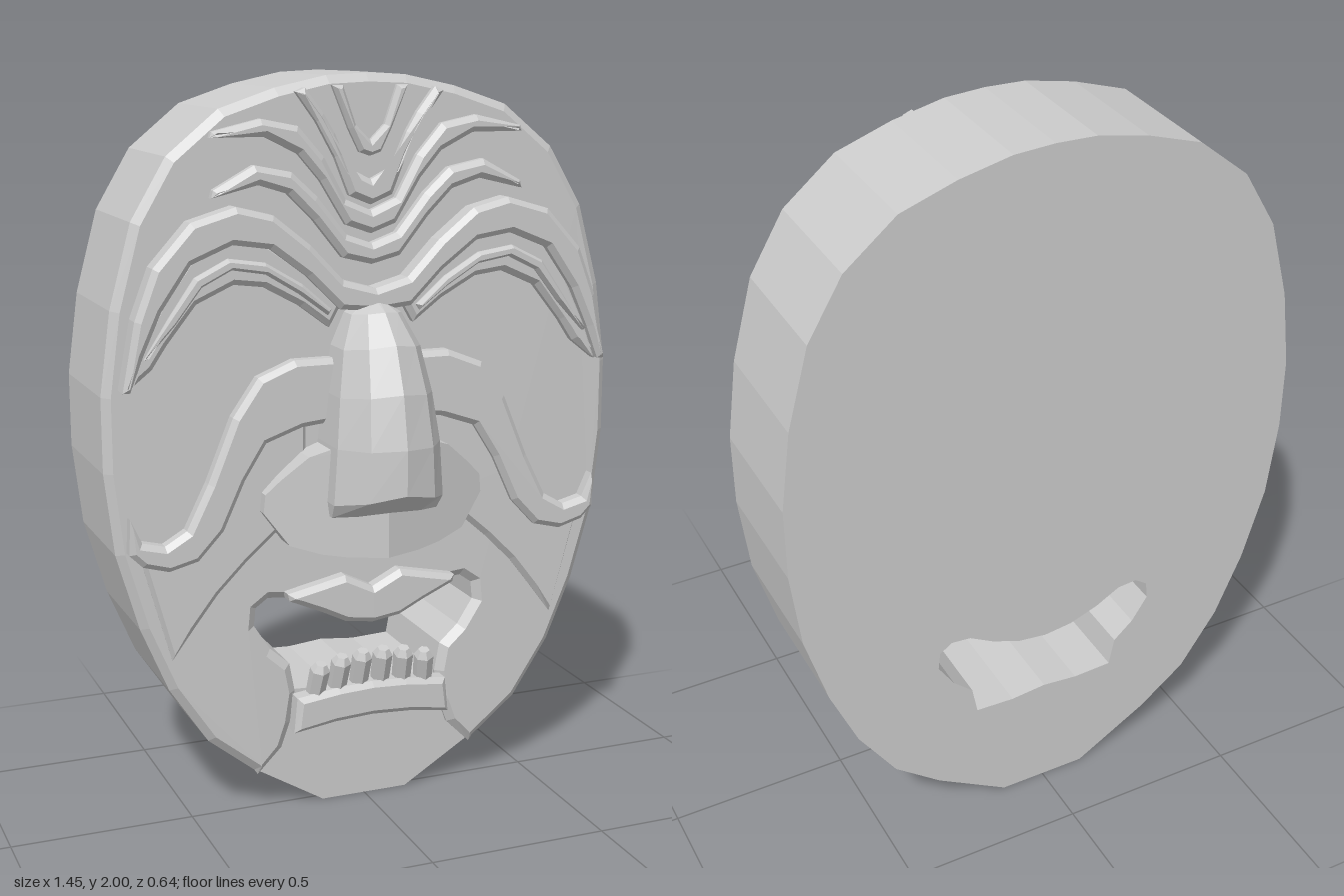
import * as THREE from 'three';

const material = new THREE.MeshStandardMaterial({ color: 0xcccccc, flatShading: true });

const flip = pts => pts.map(([x, y]) => [-x, y]);
const toVectors = pts => pts.map(([x, y]) => new THREE.Vector2(x, y));
// Closed outline from a right half that runs from one end of the centre line to the other
const symmetric = half => [...half, ...flip(half).reverse().filter(p => Math.abs(p[0]) > 1e-6)];

function addMesh(group, name, geometry) {
  const mesh = new THREE.Mesh(geometry, material);
  mesh.name = name;
  group.add(mesh);
  return mesh;
}

// Flat relief from z0 to z1 whose front edge is chamfered inside the outline
function slab(pts, z0, z1, bevel = 0.015, thickness = 0.015, hole) {
  const shape = new THREE.Shape(toVectors(pts));
  if (hole) shape.holes.push(new THREE.Path(toVectors(hole)));
  const t = bevel ? thickness : 0;
  const geometry = new THREE.ExtrudeGeometry(shape, {
    depth: z1 - z0 - 2 * t, bevelEnabled: bevel > 0, bevelSize: bevel,
    bevelOffset: -bevel, bevelThickness: t, bevelSegments: 1, curveSegments: 1,
  });
  return geometry.translate(0, 0, z0 + t);
}

// Wrinkle across the centre, from upper and lower edges listed outward from the middle
function wrinkle(group, name, top, bottom, z, bevel) {
  const half = [...top, ...[...bottom].reverse()];
  addMesh(group, name, slab(symmetric(half), 0.03, z, bevel));
}

// The same relief on both sides of the face
function pair(group, name, top, bottom, z, bevel) {
  const pts = [...top, ...[...bottom].reverse()];
  addMesh(group, name + 'Left', slab(pts, 0.03, z, bevel));
  addMesh(group, name + 'Right', slab(flip(pts), 0.03, z, bevel));
}

// Nose lofted through horizontal sections: [y at side, y at ridge, half width, side z, ridge z]
function noseGeometry() {
  const rows = [
    [1.42, 1.42, 0.02, 0.09, 0.1],
    [1.385, 1.395, 0.07, 0.11, 0.17],
    [1.3, 1.32, 0.108, 0.15, 0.245],
    [1.18, 1.2, 0.13, 0.18, 0.295],
    [1.05, 1.06, 0.145, 0.2, 0.322],
    [0.9, 0.94, 0.155, 0.2, 0.322],
    [0.86, 0.87, 0.15, 0.17, 0.215],
  ];
  const rings = rows.map(([ys, yr, w, zs, zr]) => [
    [-w, ys, 0.03], [-w, ys, zs], [-0.6 * w, (ys + yr) / 2, zs + (zr - zs) * 0.72], [0, yr, zr],
    [0.6 * w, (ys + yr) / 2, zs + (zr - zs) * 0.72], [w, ys, zs], [w, ys, 0.03],
  ]);
  const pos = [];
  const tri = (a, b, c) => pos.push(...a, ...b, ...c);
  for (let i = 0; i < rings.length - 1; i++) {
    const u = rings[i], d = rings[i + 1];
    for (let j = 0; j < 6; j++) {
      tri(d[j], d[j + 1], u[j + 1]);
      tri(d[j], u[j + 1], u[j]);
    }
  }
  const first = rings[0], last = rings[rings.length - 1];
  for (let j = 1; j < 6; j++) {
    tri(first[0], first[j], first[j + 1]);
    tri(last[0], last[j + 1], last[j]);
  }
  const geometry = new THREE.BufferGeometry();
  geometry.setAttribute('position', new THREE.Float32BufferAttribute(pos, 3));
  geometry.computeVertexNormals();
  return geometry;
}

// Half of the nostril flare: a flat piece whose front rises toward the middle
function flareGeometry(side) {
  const pts = [[0, 1.04], [0.13, 1.045], [0.2, 1.02], [0.27, 0.96], [0.31, 0.92], [0.315, 0.87],
    [0.25, 0.78], [0.17, 0.755], [0.1, 0.745], [0, 0.742]];
  const geometry = slab(side > 0 ? pts : flip(pts), 0.03, 0.1, 0);
  const p = geometry.attributes.position;
  for (let i = 0; i < p.count; i++) {
    if (p.getZ(i) > 0.06) p.setZ(i, 0.2 - 0.32 * Math.abs(p.getX(i)));
  }
  geometry.computeVertexNormals();
  return geometry;
}

export function createModel() {
  const mask = new THREE.Group();
  mask.name = 'mask';

  // Thick body pierced by the mouth
  const rim = [[0.33, 0.125], [0.46, 0.23], [0.565, 0.39], [0.64, 0.57], [0.7, 0.78], [0.725, 1.0],
    [0.725, 1.2], [0.695, 1.42], [0.635, 1.64], [0.54, 1.8], [0.4, 1.915], [0.25, 1.965], [0.11, 1.995], [0, 2]];
  const mouthUpper = [[0.21, 0.34], [0.225, 0.42], [0.28, 0.47], [0.325, 0.54], [0.32, 0.59], [0.285, 0.615],
    [0.23, 0.61], [0.16, 0.57], [0.08, 0.54], [0, 0.53]];
  const mouth = symmetric([[0, 0.345], [0.1, 0.335], ...mouthUpper]);
  addMesh(mask, 'body', slab(symmetric([[0, 0], [0.125, 0], ...rim]), -0.32, 0.025, 0, 0, mouth));

  // Raised face plate, cut away around the mouth and chin
  const jaw = [[0.32, 0.11], [0.25, 0.18], [0.225, 0.25]];
  const inner = [...jaw, ...mouthUpper];
  const facePlate = [...rim, ...flip(rim).reverse().slice(1), ...flip(inner), ...inner.slice(0, -1).reverse()];
  addMesh(mask, 'facePlate', slab(facePlate, 0.003, 0.054, 0.022, 0.02));

  // Nested forehead wrinkles, from the hairline down
  wrinkle(mask, 'foreheadWrinkle1', [[0, 1.83], [0.04, 1.87], [0.075, 1.97]],
    [[0, 1.79], [0.03, 1.8], [0.06, 1.86], [0.105, 1.97]], 0.08, 0.01);
  wrinkle(mask, 'foreheadWrinkle2', [[0, 1.73], [0.06, 1.76], [0.1, 1.85], [0.13, 1.9], [0.18, 1.965]],
    [[0, 1.665], [0.06, 1.69], [0.1, 1.79], [0.15, 1.88], [0.205, 1.955]], 0.085);
  wrinkle(mask, 'foreheadWrinkle3', [[0, 1.65], [0.07, 1.68], [0.13, 1.79], [0.2, 1.87], [0.3, 1.89], [0.43, 1.86]],
    [[0, 1.59], [0.07, 1.615], [0.14, 1.73], [0.2, 1.8], [0.29, 1.845], [0.435, 1.845]], 0.085);
  wrinkle(mask, 'foreheadWrinkle4', [[0, 1.565], [0.07, 1.59], [0.15, 1.69], [0.22, 1.755], [0.32, 1.775], [0.43, 1.715]],
    [[0, 1.51], [0.08, 1.53], [0.16, 1.63], [0.23, 1.7], [0.31, 1.725], [0.435, 1.695]], 0.09);

  // Brow, with an eyelid step and a thin fold below it
  wrinkle(mask, 'brow',
    [[0, 1.45], [0.09, 1.475], [0.18, 1.57], [0.28, 1.65], [0.38, 1.675], [0.5, 1.64], [0.6, 1.53], [0.65, 1.4], [0.685, 1.22]],
    [[0, 1.39], [0.1, 1.4], [0.19, 1.49], [0.29, 1.565], [0.39, 1.58], [0.5, 1.535], [0.58, 1.42], [0.63, 1.31], [0.665, 1.22]], 0.12);
  pair(mask, 'browFold',
    [[0.12, 1.4], [0.2, 1.47], [0.3, 1.53], [0.4, 1.545], [0.49, 1.5], [0.56, 1.4], [0.625, 1.3]],
    [[0.13, 1.385], [0.21, 1.445], [0.3, 1.5], [0.39, 1.515], [0.47, 1.475], [0.54, 1.385], [0.62, 1.3]], 0.11, 0.008);
  pair(mask, 'eyelid',
    [[0.08, 1.42], [0.19, 1.51], [0.29, 1.58], [0.39, 1.6], [0.5, 1.55], [0.58, 1.44], [0.64, 1.32], [0.675, 1.22]],
    [[0.12, 1.35], [0.2, 1.41], [0.3, 1.465], [0.38, 1.475], [0.48, 1.43], [0.56, 1.33], [0.6, 1.27], [0.67, 1.215]], 0.09);

  // Folds under the eyes and across the cheeks
  pair(mask, 'eyeBag',
    [[0.1, 1.27], [0.22, 1.27], [0.32, 1.23], [0.39, 1.13], [0.46, 0.96], [0.52, 0.84], [0.58, 0.805], [0.64, 0.82], [0.67, 0.885]],
    [[0.1, 1.1], [0.2, 1.09], [0.3, 1.055], [0.36, 0.96], [0.42, 0.83], [0.49, 0.755], [0.57, 0.735], [0.64, 0.755], [0.675, 0.79]], 0.098);
  pair(mask, 'cheekFold',
    [[0.18, 1.12], [0.3, 1.09], [0.4, 0.92], [0.48, 0.79], [0.57, 0.77], [0.645, 0.79]],
    [[0.18, 0.85], [0.27, 0.8], [0.35, 0.73], [0.43, 0.65], [0.5, 0.56], [0.56, 0.48]], 0.07);

  // Nose and nostril flares
  addMesh(mask, 'nose', noseGeometry());
  addMesh(mask, 'nostrilFlareLeft', flareGeometry(1));
  addMesh(mask, 'nostrilFlareRight', flareGeometry(-1));

  // Lips
  wrinkle(mask, 'upperLip', [[0, 0.63], [0.08, 0.67], [0.15, 0.655], [0.245, 0.635]],
    [[0, 0.528], [0.08, 0.54], [0.15, 0.575], [0.24, 0.615]], 0.1);
  wrinkle(mask, 'lowerLip', [[0, 0.355], [0.1, 0.35], [0.22, 0.335]],
    [[0, 0.258], [0.11, 0.252], [0.23, 0.235]], 0.1);

  // Six lower teeth leaning forward
  [-0.157, -0.094, -0.031, 0.031, 0.094, 0.157].forEach((x, i) => {
    const profile = toVectors([[0, -0.06], [0.026, -0.06], [0.028, 0.035], [0.016, 0.055], [0, 0.055]]);
    const tooth = addMesh(mask, 'tooth' + (i + 1), new THREE.LatheGeometry(profile, 6));
    tooth.position.set(x, 0.398 - 0.9 * x * x, 0.075);
    tooth.rotation.set(0.3, 0, x * 0.5);
  });

  return mask;
}
